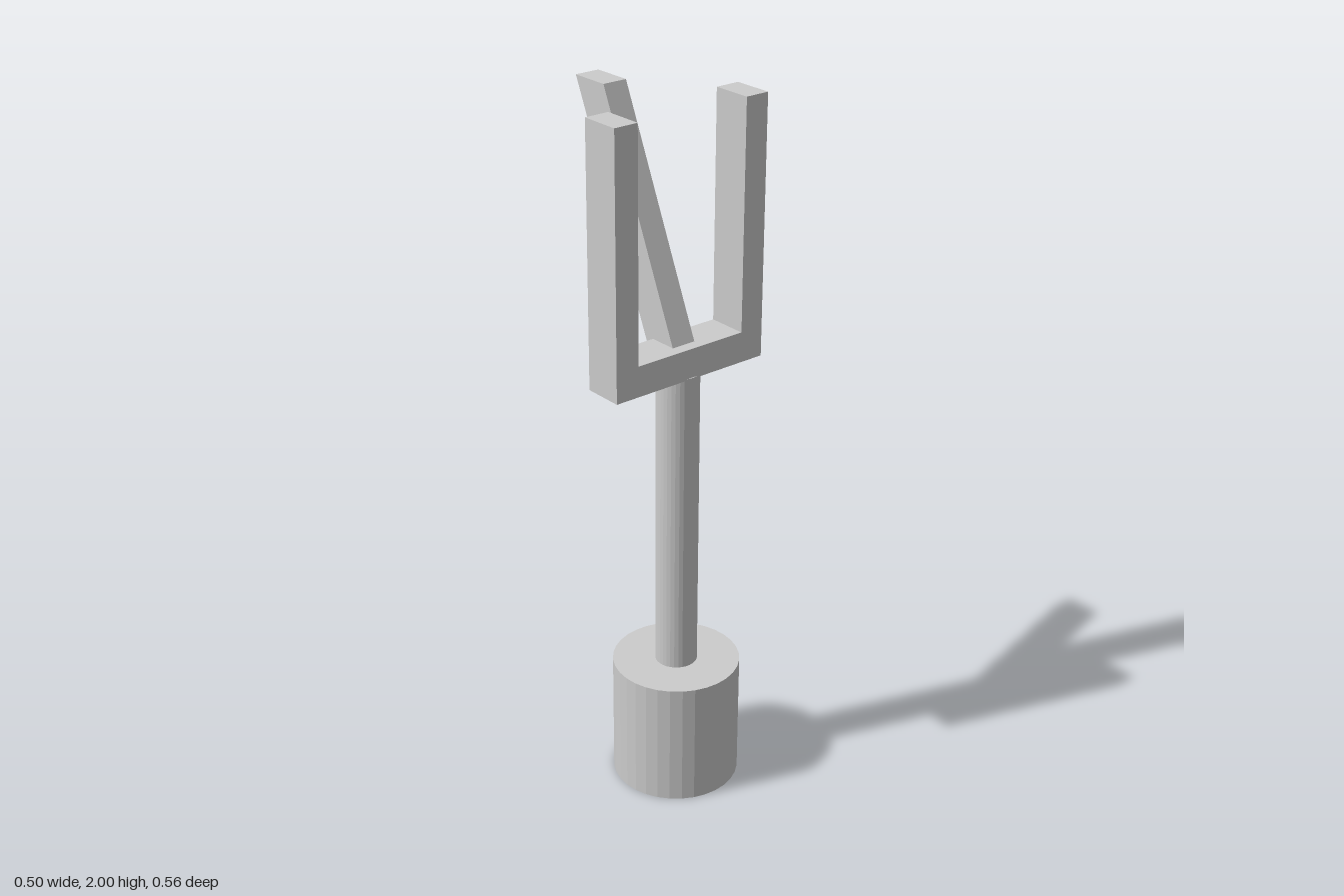
import * as THREE from 'three';

const AXIS_X = 0.003, AXIS_Z = 0.097;
const material = new THREE.MeshStandardMaterial({ color: 0xcccccc, flatShading: true });

function add(group, name, geometry) {
  const mesh = new THREE.Mesh(geometry, material);
  mesh.name = name;
  group.add(mesh);
  return mesh;
}

// Upright cylinder on the handle axis, from y0 to y1
function post(radius, y0, y1) {
  return new THREE.CylinderGeometry(radius, radius, y1 - y0, 32)
    .translate(AXIS_X, (y0 + y1) / 2, AXIS_Z);
}

function extrude(points, depth) {
  const shape = new THREE.Shape(points.map(([x, y]) => new THREE.Vector2(x, y)));
  return new THREE.ExtrudeGeometry(shape, { depth, bevelEnabled: false });
}

export function createModel() {
  const group = new THREE.Group();
  group.name = 'threeProngedFork';

  // Handle
  add(group, 'base', post(0.182, 0, 0.37));
  add(group, 'shaft', post(0.06, 0.37, 1.272));

  // Crossbar with the two upright prongs, as one U
  const out = 0.248, inn = 0.176, low = 1.268, bar = 1.355, top = 2;
  const u = [[-out, low], [out, low], [out, top], [inn, top],
    [inn, bar], [-inn, bar], [-inn, top], [-out, top]];
  add(group, 'uprightProngs', extrude(u, 0.116).translate(0, 0, 0.038));

  // Prong leaning backwards, profile given as [z, y]
  const lean = [[0.12, 1.354], [-0.165, top], [-0.283, top], [0.038, 1.28]];
  add(group, 'leaningProng', extrude(lean, 0.074).rotateY(-Math.PI / 2).translate(0.04, 0, 0));

  return group;
}
